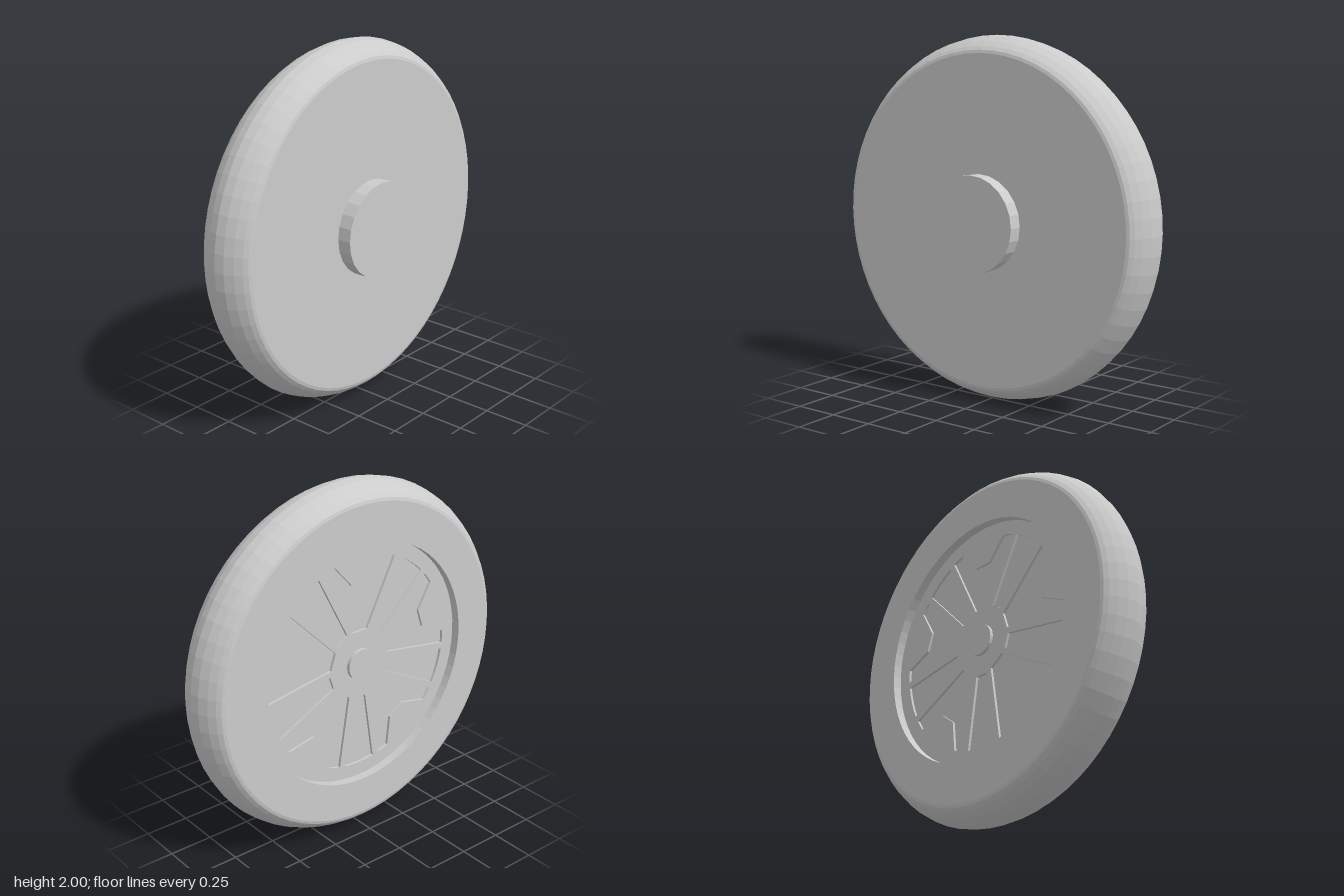
import * as THREE from 'three';

const BACK = -0.2, FRONT = 0.12, FLOOR = -0.15, POCKET = -0.135;
const RECESS_R = 0.69, PATTERN_R = 0.61;

const material = new THREE.MeshStandardMaterial({ color: 0xcccccc, flatShading: true });

function addMesh(group, name, geometry) {
  const mesh = new THREE.Mesh(geometry, material);
  mesh.name = name;
  group.add(mesh);
  return mesh;
}

// Short cylinder along z between two depths
function addDisc(group, name, radius, z0, z1, sides) {
  const geo = new THREE.CylinderGeometry(radius, radius, z1 - z0, sides);
  geo.rotateX(Math.PI / 2).translate(0, 0, (z0 + z1) / 2);
  return addMesh(group, name, geo);
}

// Points on the outer circle of the spoke pattern, in degrees
function arc(from, to, steps) {
  return Array.from({ length: steps + 1 }, (_, i) => {
    const a = THREE.MathUtils.degToRad(from + ((to - from) * i) / steps);
    return [PATTERN_R * Math.cos(a), PATTERN_R * Math.sin(a)];
  });
}

// Closed path from points lying along +x, turned to the given angle
function turnedPath(points, angle) {
  const centre = new THREE.Vector2();
  return new THREE.Path(points.map(([x, y]) => new THREE.Vector2(x, y).rotateAround(centre, angle)));
}

export function createModel() {
  const wheel = new THREE.Group();
  wheel.name = 'wheel';

  // Tyre with a rounded tread, a closed front and a recess in the back
  const mid = (FRONT + BACK) / 2;
  const tread = [[0.905, 0.16], [0.922, 0.155], [0.942, 0.137], [0.968, 0.1], [0.99, 0.052]];
  const profile = [
    [RECESS_R, FLOOR],
    [RECESS_R, BACK],
    ...tread.map(([r, z]) => [r, mid - z]),
    [1, mid],
    ...[...tread].reverse().map(([r, z]) => [r, mid + z]),
    [0, FRONT],
  ].map(([r, z]) => new THREE.Vector2(r, z));
  const tyre = new THREE.LatheGeometry(profile, 64);
  tyre.rotateX(Math.PI / 2);
  addMesh(wheel, 'tyre', tyre);

  // Hub boss on the front
  addDisc(wheel, 'hubBoss', 0.265, FRONT - 0.02, 0.2, 24);

  // Rim plate in the recess: five notched pockets alternating with five wedges
  const notched = [
    [0.19, -0.05], ...arc(-23, -16, 2), [0.46, -0.055],
    [0.46, 0.055], ...arc(16, 23, 2), [0.19, 0.05],
  ];
  const wedge = [[0.2, -0.04], ...arc(-9.5, 9.5, 4), [0.2, 0.04]];
  const plate = new THREE.Shape().absarc(0, 0, RECESS_R, 0, Math.PI * 2);
  for (let i = 0; i < 5; i++) {
    const angle = Math.PI / 2 + (i * Math.PI * 2) / 5;
    plate.holes.push(turnedPath(notched, angle), turnedPath(wedge, angle + Math.PI / 5));
  }
  const rim = new THREE.ExtrudeGeometry(plate, {
    depth: POCKET - FLOOR, bevelEnabled: false, curveSegments: 64,
  });
  rim.translate(0, 0, FLOOR);
  addMesh(wheel, 'spokedRim', rim);

  // Floor of the pockets
  const floor = new THREE.CircleGeometry(RECESS_R, 64);
  floor.rotateY(Math.PI).translate(0, 0, POCKET);
  addMesh(wheel, 'pocketFloor', floor);

  // Small axle cap in the middle of the back
  addDisc(wheel, 'axleCap', 0.088, FLOOR - 0.02, FLOOR + 0.01, 24);

  wheel.children.forEach((part) => part.geometry.translate(0, 1, 0));
  return wheel;
}
